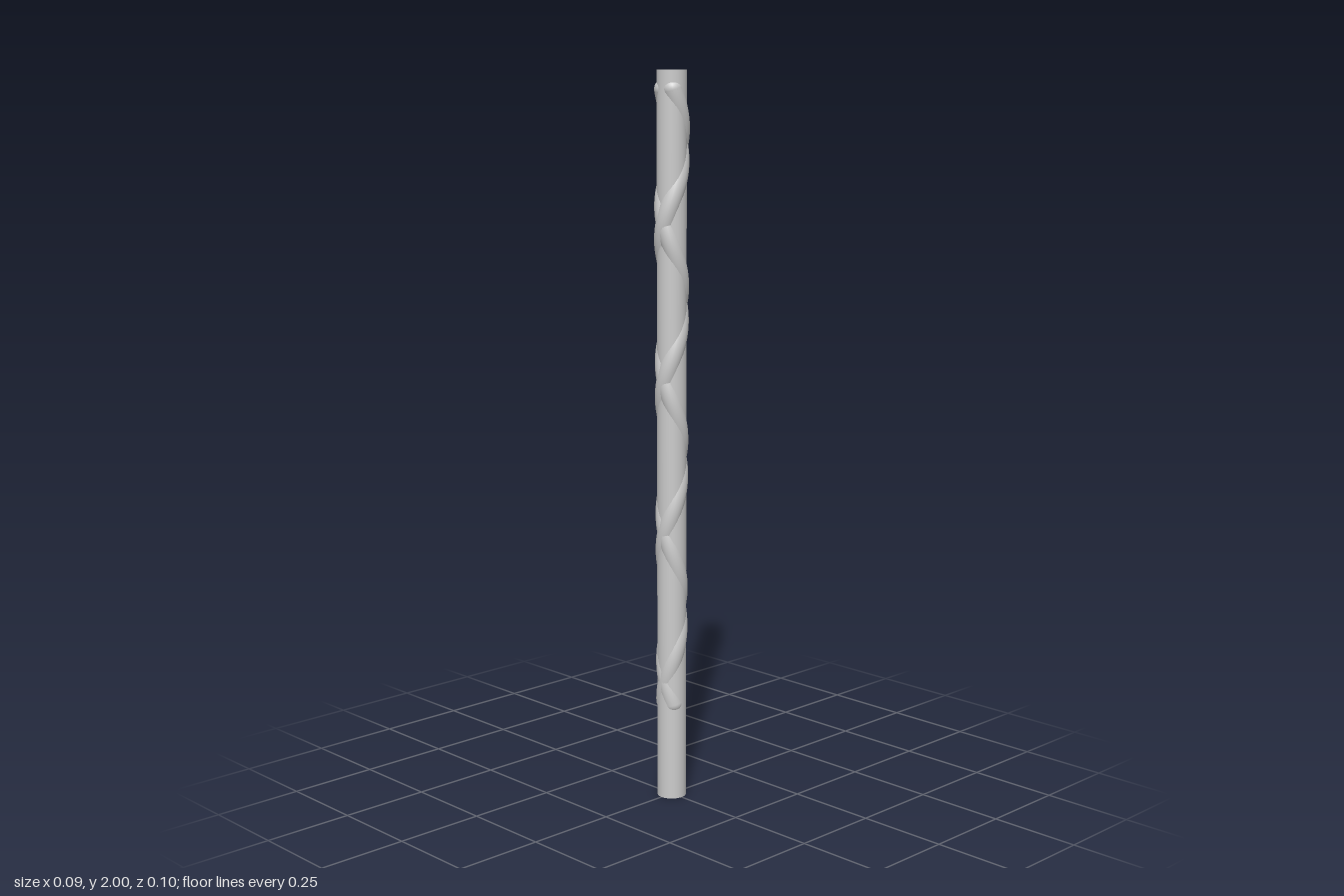
import * as THREE from 'three';

const ROD_RADIUS = 0.04;
const VINE_RADIUS = 0.027;
const PITCH = 0.421;
const FRONT_CROSSING = 0.335; // height of the lowest crossing at the front
const BOTTOM = 0.272;
const TOP = 1.95;

// Helix around the rod; side = 1 or -1 sets the direction of winding
class VineCurve extends THREE.Curve {
  constructor(side) {
    super();
    this.side = side;
  }

  getPoint(t, target = new THREE.Vector3()) {
    const y = BOTTOM + (TOP - BOTTOM) * t;
    const a = ((y - FRONT_CROSSING) / PITCH) * Math.PI * 2;
    // the crossings bulge further out toward the top, one vine lying over the other
    const over = 0.0012 * t * this.side * Math.cos(a);
    const rx = 0.0445 - VINE_RADIUS;
    const rz = 0.042 + 0.009 * t + over - VINE_RADIUS;
    return target.set(this.side * rx * Math.sin(a), y, rz * Math.cos(a));
  }
}

export function createModel() {
  const group = new THREE.Group();
  group.name = 'staff';
  const material = new THREE.MeshStandardMaterial({ color: 0xcccccc });

  const add = (parent, name, geometry) => {
    const mesh = new THREE.Mesh(geometry, material);
    mesh.name = name;
    parent.add(mesh);
    return mesh;
  };

  // Straight round rod
  add(group, 'rod', new THREE.CylinderGeometry(ROD_RADIUS, ROD_RADIUS, 2, 40)).position.y = 1;

  // Two mirrored vines, half sunk into the rod, with rounded ends
  for (const side of [1, -1]) {
    const vine = new THREE.Group();
    vine.name = side > 0 ? 'leftVine' : 'rightVine';
    group.add(vine);

    const curve = new VineCurve(side);
    add(vine, 'vineStem', new THREE.TubeGeometry(curve, 240, VINE_RADIUS, 24));
    for (const end of [0, 1]) {
      const tip = add(vine, end ? 'vineTopEnd' : 'vineBottomEnd', new THREE.SphereGeometry(VINE_RADIUS, 24, 16));
      tip.position.copy(curve.getPoint(end));
    }
  }

  return group;
}
